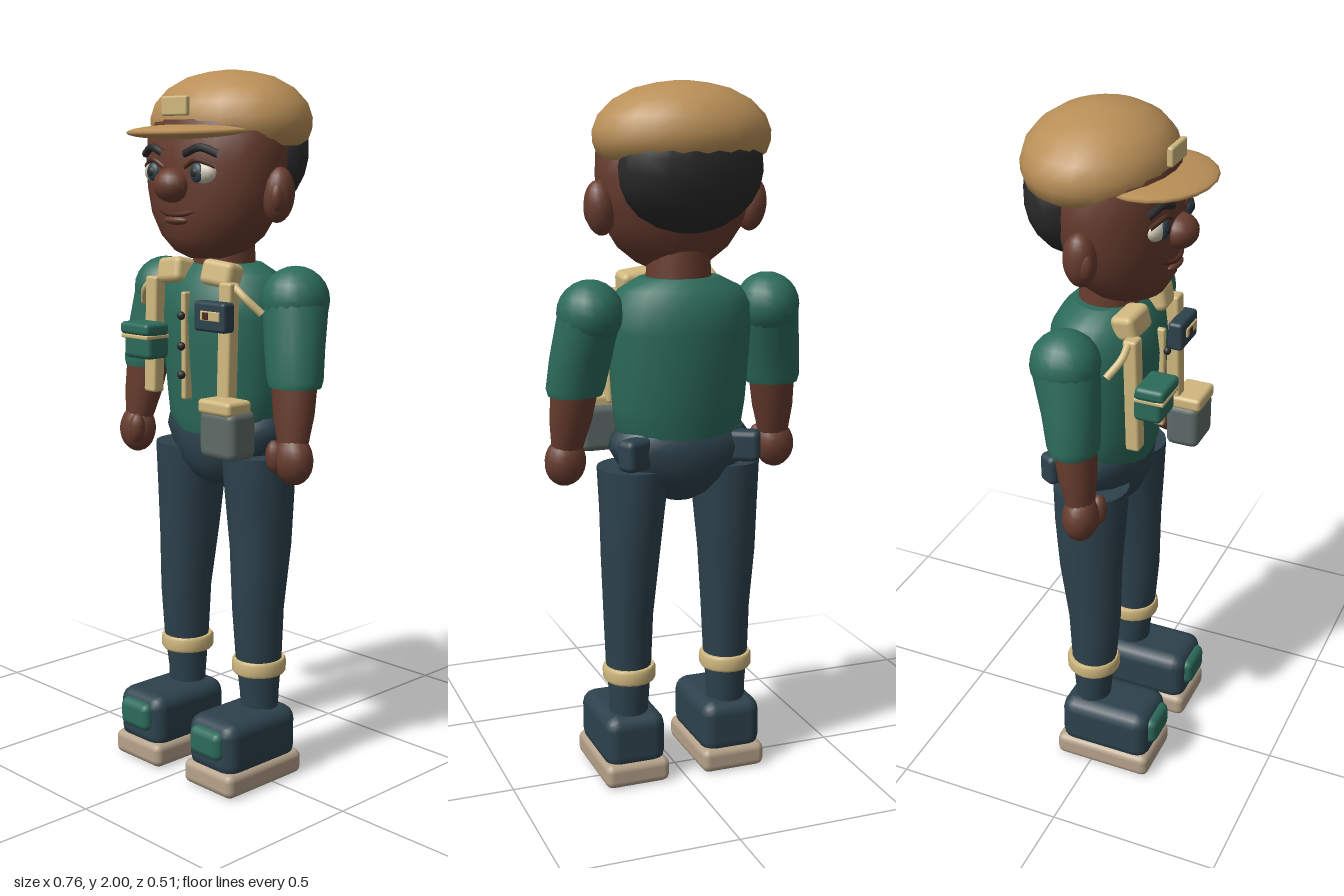
import * as THREE from 'three';
import { RoundedBoxGeometry } from 'three/addons/geometries/RoundedBoxGeometry.js';

const paint = (name, color) => {
  const m = new THREE.MeshStandardMaterial({ color });
  m.name = name;
  return m;
};

export function createModel() {
  const tan = paint('capTan', 0xb98f57), skin = paint('skinBrown', 0x673c2e);
  const green = paint('shirtGreen', 0x2c6b5b), navy = paint('navy', 0x2d424d);
  const cream = paint('cream', 0xd0b87e), black = paint('hairBlack', 0x2a2a2a);
  const solePaint = paint('soleBeige', 0xb5a28a), grey = paint('pouchGrey', 0x5e6b68);
  const white = paint('eyeWhite', 0xcfc8b4), lip = paint('lipBrown', 0x4f2b21);
  const model = new THREE.Group();
  model.name = 'figure';

  const add = (name, geo, mat, pos = [0, 0, 0], rot = [0, 0, 0]) => {
    const m = new THREE.Mesh(geo, mat);
    m.name = name;
    m.position.set(...pos);
    m.rotation.set(...rot);
    model.add(m);
    return m;
  };
  const ball = (name, mat, pos, r, rot, seg = 18) =>
    add(name, new THREE.SphereGeometry(1, seg, 12), mat, pos, rot).scale.set(...r);
  const box = (name, mat, pos, s, r = 0.01, rot) =>
    add(name, new RoundedBoxGeometry(...s, 2, r), mat, pos, rot);
  const tube = (name, mat, pts, r) => {
    const path = new THREE.CatmullRomCurve3(pts.map(p => new THREE.Vector3(...p)));
    return add(name, new THREE.TubeGeometry(path, 8, r, 8), mat);
  };

  // Skin of elliptical rings, listed bottom to top as [y, cx, cz, rx, rz], with flat caps
  const loft = (name, mat, rings, n = 20) => {
    const pos = [], idx = [];
    const ring = ([y, cx, cz, rx, rz]) => {
      const start = pos.length / 3;
      for (let i = 0; i < n; i++) {
        const a = i / n * Math.PI * 2;
        pos.push(cx + rx * Math.sin(a), y, cz + rz * Math.cos(a));
      }
      return start;
    };
    rings.forEach(ring);
    for (let k = 0; k < rings.length - 1; k++) {
      for (let i = 0; i < n; i++) {
        const a = k * n + i, b = k * n + (i + 1) % n;
        idx.push(a, b, b + n, a, b + n, a + n);
      }
    }
    [rings[0], rings[rings.length - 1]].forEach((r, top) => {
      const s = ring(r), c = pos.length / 3;
      pos.push(r[1], r[0], r[2]);
      for (let i = 0; i < n; i++) {
        const a = s + i, b = s + (i + 1) % n;
        top ? idx.push(c, a, b) : idx.push(c, b, a);
      }
    });
    const g = new THREE.BufferGeometry();
    g.setAttribute('position', new THREE.Float32BufferAttribute(pos, 3));
    g.setIndex(idx);
    g.computeVertexNormals();
    return add(name, g, mat);
  };

  // Head, neck and hair
  loft('head', skin, [
    [1.49, 0, 0.02, 0.06, 0.065], [1.51, 0, 0.02, 0.105, 0.1], [1.55, 0, 0.015, 0.157, 0.13],
    [1.61, 0, 0.01, 0.197, 0.148], [1.68, 0, 0.004, 0.217, 0.16], [1.75, 0, 0, 0.225, 0.165],
    [1.82, 0, 0, 0.222, 0.16], [1.88, 0, 0, 0.19, 0.14]]);
  loft('neck', skin, [[1.42, 0, -0.03, 0.095, 0.09], [1.58, 0, -0.03, 0.085, 0.083]]);
  ball('hair', black, [0, 1.77, -0.125], [0.205, 0.175, 0.122], [-0.15, 0, 0]);

  // Cap
  loft('capCrown', tan, [
    [1.795, 0, -0.055, 0.215, 0.165], [1.81, 0, -0.055, 0.236, 0.188], [1.84, 0, -0.055, 0.247, 0.199],
    [1.87, 0, -0.055, 0.248, 0.201], [1.91, 0, -0.055, 0.232, 0.19], [1.95, 0, -0.055, 0.192, 0.158],
    [1.98, 0, -0.055, 0.132, 0.11], [1.994, 0, -0.055, 0.07, 0.058], [2, 0, -0.055, 0.015, 0.012]], 22);
  ball('capBrim', tan, [0, 1.832, 0.1], [0.196, 0.021, 0.155], [0.03, 0, 0], 22);
  box('capBadge', cream, [0, 1.899, 0.152], [0.1, 0.052, 0.018], 0.006);

  // Face
  ball('nose', skin, [0, 1.69, 0.165], [0.055, 0.047, 0.05]);
  tube('upperLip', lip, [[-0.07, 1.622, 0.142], [-0.025, 1.612, 0.158], [0.025, 1.612, 0.158], [0.07, 1.622, 0.142]], 0.007);
  ball('lowerLip', skin, [0, 1.596, 0.15], [0.045, 0.013, 0.02]);

  // Shirt
  loft('shirt', green, [
    [1, 0, -0.03, 0.15, 0.118], [1.04, 0, -0.03, 0.182, 0.128], [1.12, 0, -0.033, 0.193, 0.137],
    [1.22, 0, -0.034, 0.2, 0.147], [1.33, 0, -0.034, 0.208, 0.152], [1.4, 0, -0.037, 0.206, 0.146],
    [1.445, 0, -0.038, 0.175, 0.118], [1.475, 0, -0.035, 0.115, 0.09]], 24);
  box('placket', cream, [0, 1.25, 0.115], [0.018, 0.3, 0.03], 0.006);
  for (const y of [1.17, 1.25, 1.335]) ball('button', black, [0, y, 0.135], [0.012, 0.012, 0.011], undefined, 10);

  // Waist and hips
  loft('hips', navy, [
    [0.843, 0, -0.03, 0.045, 0.045], [0.865, 0, -0.03, 0.09, 0.08], [0.91, 0, -0.035, 0.145, 0.11],
    [0.955, 0, -0.04, 0.185, 0.122], [1.0, 0, -0.04, 0.21, 0.125], [1.03, 0, -0.04, 0.205, 0.118],
    [1.05, 0, -0.04, 0.19, 0.108]]);

  // Mirrored parts
  for (const s of [-1, 1]) {
    ball('ear', skin, [s * 0.222, 1.665, -0.017], [0.043, 0.075, 0.045], [0, 0, -s * 0.1]);
    ball('innerEar', skin, [s * 0.242, 1.66, 0.003], [0.018, 0.04, 0.025]);
    ball('eye', white, [s * 0.09, 1.724, 0.135], [0.047, 0.031, 0.028]);
    ball('iris', navy, [s * 0.086, 1.724, 0.155], [0.024, 0.026, 0.013]);
    ball('pupil', black, [s * 0.086, 1.724, 0.164], [0.012, 0.013, 0.007], undefined, 10);
    tube('eyelid', lip, [[s * 0.042, 1.737, 0.155], [s * 0.085, 1.757, 0.158], [s * 0.137, 1.74, 0.135]], 0.007);
    tube('eyebrow', black, [[s * 0.042, 1.773, 0.158], [s * 0.095, 1.79, 0.152], [s * 0.145, 1.772, 0.132]], 0.011);

    // Arm
    ball('shoulder', green, [s * 0.262, 1.385, -0.045], [0.092, 0.092, 0.095]);
    loft('sleeve', green, [
      [1.155, s * 0.297, -0.008, 0.076, 0.066], [1.175, s * 0.296, -0.009, 0.083, 0.07],
      [1.26, s * 0.283, -0.02, 0.087, 0.078], [1.38, s * 0.262, -0.045, 0.09, 0.092]]);
    loft('forearm', skin, [
      [0.99, s * 0.316, 0.018, 0.043, 0.036], [1.08, s * 0.307, 0.006, 0.06, 0.052],
      [1.18, s * 0.297, -0.006, 0.068, 0.06]], 16);
    ball('hand', skin, [s * 0.32, 0.962, 0.02], [0.06, 0.07, 0.05], [0, 0, s * 0.1], 14);
    ball('thumb', skin, [s * 0.284, 0.97, 0.055], [0.026, 0.045, 0.024], [0, 0, s * 0.1], 10);

    // Leg
    loft('leg', navy, [
      [0.17, s * 0.154, -0.025, 0.055, 0.05], [0.25, s * 0.152, -0.025, 0.058, 0.055],
      [0.36, s * 0.152, -0.022, 0.066, 0.068], [0.5, s * 0.151, -0.02, 0.071, 0.078],
      [0.68, s * 0.148, -0.032, 0.083, 0.093], [0.82, s * 0.142, -0.034, 0.092, 0.104],
      [0.945, s * 0.137, -0.033, 0.103, 0.109]]);
    loft('legBand', cream, [
      [0.308, s * 0.151, -0.025, 0.072, 0.074], [0.316, s * 0.151, -0.025, 0.077, 0.079],
      [0.344, s * 0.151, -0.025, 0.077, 0.079], [0.352, s * 0.151, -0.025, 0.072, 0.074]]);

    // Shoe
    box('sole', solePaint, [s * 0.15, 0.036, 0.038], [0.195, 0.072, 0.298], 0.022);
    box('shoe', navy, [s * 0.15, 0.13, 0.04], [0.182, 0.16, 0.28], 0.04);
    box('toeCap', green, [s * 0.15, 0.146, 0.175], [0.12, 0.084, 0.05], 0.022);

    // Collar, straps and hip pockets
    box('collar', cream, [s * 0.092, 1.45, 0.068], [0.105, 0.072, 0.07], 0.018, [-0.2, s * 0.15, -s * 0.08]);
    box('strap', cream, [s * 0.149, 1.268, 0.1], [0.046, 0.33, 0.04], 0.008, [-0.03, 0, 0]);
    tube('shoulderLoop', cream, [[s * 0.16, 1.425, 0.09], [s * 0.2, 1.395, 0.088], [s * 0.238, 1.352, 0.06]], 0.011);
    box('hipPocket', navy, [s * 0.155, 1.0, -0.118], [0.11, 0.09, 0.06], 0.018, [0, s * 0.5, 0]);
  }

  // Chest pouch, on the right
  box('chestPouch', green, [-0.128, 1.252, 0.15], [0.108, 0.09, 0.08], 0.015);
  box('chestPouchFlap', green, [-0.128, 1.292, 0.158], [0.118, 0.035, 0.085], 0.012);
  box('chestPouchTrim', cream, [-0.128, 1.27, 0.155], [0.11, 0.012, 0.086], 0.004);

  // Chest badge, on the left
  box('badgeHolder', navy, [0.126, 1.342, 0.13], [0.12, 0.082, 0.044], 0.01);
  box('badgeCard', cream, [0.134, 1.345, 0.153], [0.074, 0.026, 0.008], 0.003);
  box('badgePicture', lip, [0.12, 1.345, 0.157], [0.022, 0.02, 0.006], 0.002);

  // Belt pouch, on the left
  box('beltPouch', grey, [0.184, 1.03, 0.135], [0.132, 0.135, 0.1], 0.022);
  box('beltPouchFlap', cream, [0.182, 1.105, 0.145], [0.124, 0.04, 0.09], 0.012);

  return model;
}
